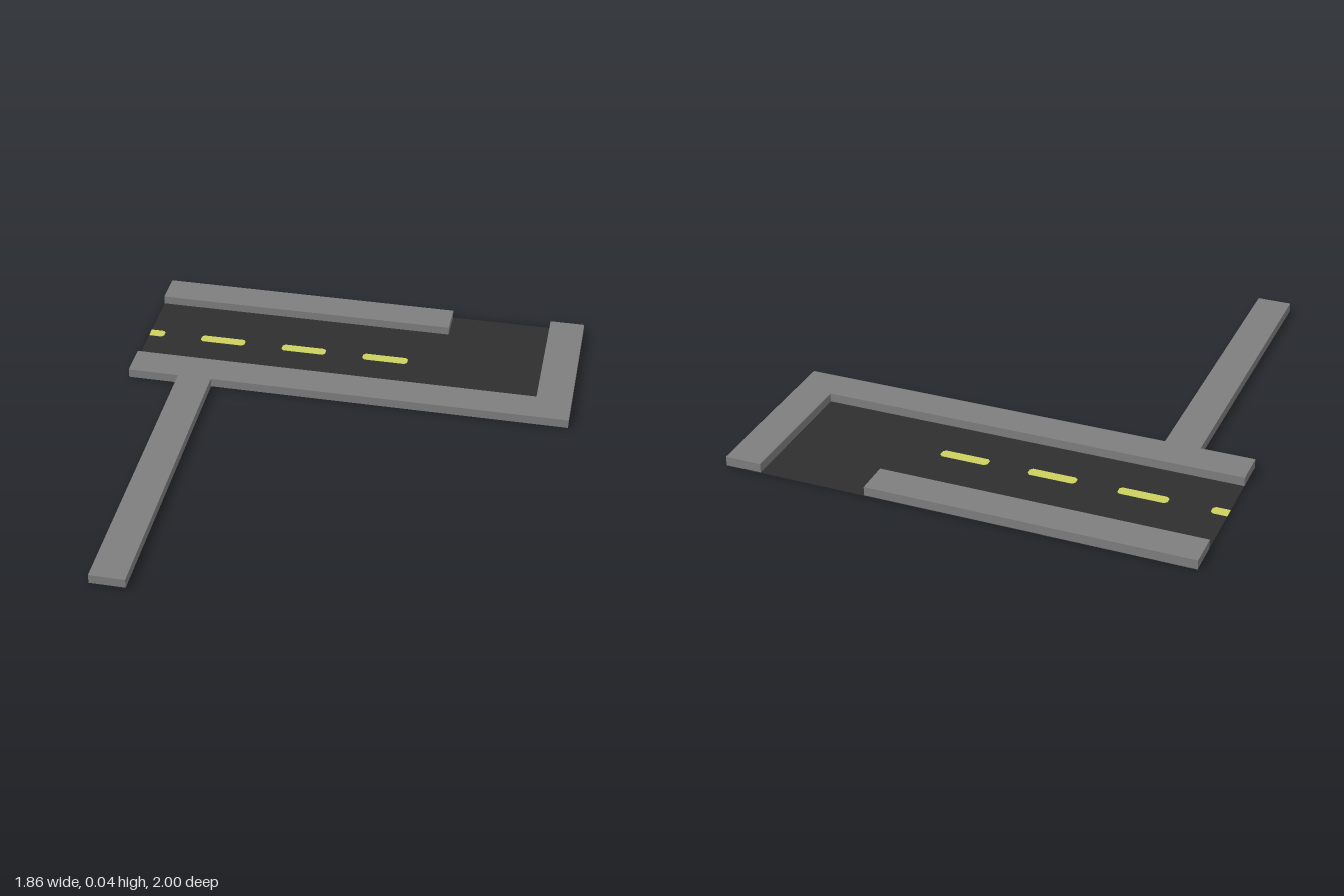
import * as THREE from 'three';

const material = (name, color) => {
  const m = new THREE.MeshStandardMaterial({ color });
  m.name = name;
  return m;
};

// Flat slab from an outline of [x, z] corners, filling y from bottom to top
function slab(name, outline, bottom, top, mat) {
  const shape = new THREE.Shape(outline.map(([x, z]) => new THREE.Vector2(x, z)));
  const geo = new THREE.ExtrudeGeometry(shape, { depth: top - bottom, bevelEnabled: false });
  geo.rotateX(Math.PI / 2);
  geo.translate(0, top, 0);
  const mesh = new THREE.Mesh(geo, mat);
  mesh.name = name;
  return mesh;
}

// Rectangle with cut corners; a cut of 0 at an end leaves it square
function cutRect(x0, x1, z0, z1, cutLeft, cutRight) {
  const left = cutLeft ? [[x0 + cutLeft, z1], [x0, z1 - cutLeft], [x0, z0 + cutLeft], [x0 + cutLeft, z0]]
    : [[x0, z1], [x0, z0]];
  const right = cutRight ? [[x1 - cutRight, z0], [x1, z0 + cutRight], [x1, z1 - cutRight], [x1 - cutRight, z1]]
    : [[x1, z0], [x1, z1]];
  return [...left, ...right];
}

export function createModel() {
  const concrete = material('concrete', 0x7e7e7e);
  const asphalt = material('asphalt', 0x2e2e2e);
  const paint = material('yellowPaint', 0xcdd15e);
  const group = new THREE.Group();
  group.name = 'roadSection';

  // Raised pavement: front strip, end strip and the long footpath in one piece
  group.add(slab('pavementAndFootpath', [
    [-0.93, -0.43], [0.783, -0.43], [0.783, -1], [0.93, -1], [0.93, -0.29],
    [-0.573, -0.29], [-0.573, 1], [-0.715, 1], [-0.715, -0.29], [-0.93, -0.29],
  ], 0.002, 0.04, concrete));

  // Raised pavement along the back, stopping short of the side exit
  group.add(slab('backPavement', [
    [-0.93, -1], [0.353, -1], [0.353, -0.863], [-0.93, -0.863],
  ], 0.002, 0.04, concrete));

  // Sunken road sheet, running on beneath the pavement
  group.add(slab('road', [
    [-0.93, -1], [0.855, -1], [0.855, -0.32], [0.84, -0.305], [-0.93, -0.305],
  ], 0.001, 0.004, asphalt));

  // Dark round-ended bed under the footpath
  const bed = [];
  for (let i = 0; i <= 8; i++) {
    const a = (i / 8) * Math.PI;
    bed.push([-0.644 + 0.05 * Math.cos(a), 0.82 + 0.05 * Math.sin(a)]);
  }
  for (let i = 0; i <= 8; i++) {
    const a = Math.PI + (i / 8) * Math.PI;
    bed.push([-0.644 + 0.05 * Math.cos(a), -0.22 + 0.05 * Math.sin(a)]);
  }
  group.add(slab('footpathBed', bed, 0.001, 0.004, asphalt));

  // Lane dashes, showing on both faces of the road sheet
  const dashes = [[-0.93, -0.865], [-0.7, -0.505], [-0.34, -0.148], [0.015, 0.21]];
  dashes.forEach(([x0, x1], i) => {
    const outline = cutRect(x0, x1, -0.648, -0.605, i ? 0.01 : 0, 0.01);
    group.add(slab('laneDash' + (i + 1), outline, 0, 0.0055, paint));
  });

  return group;
}
